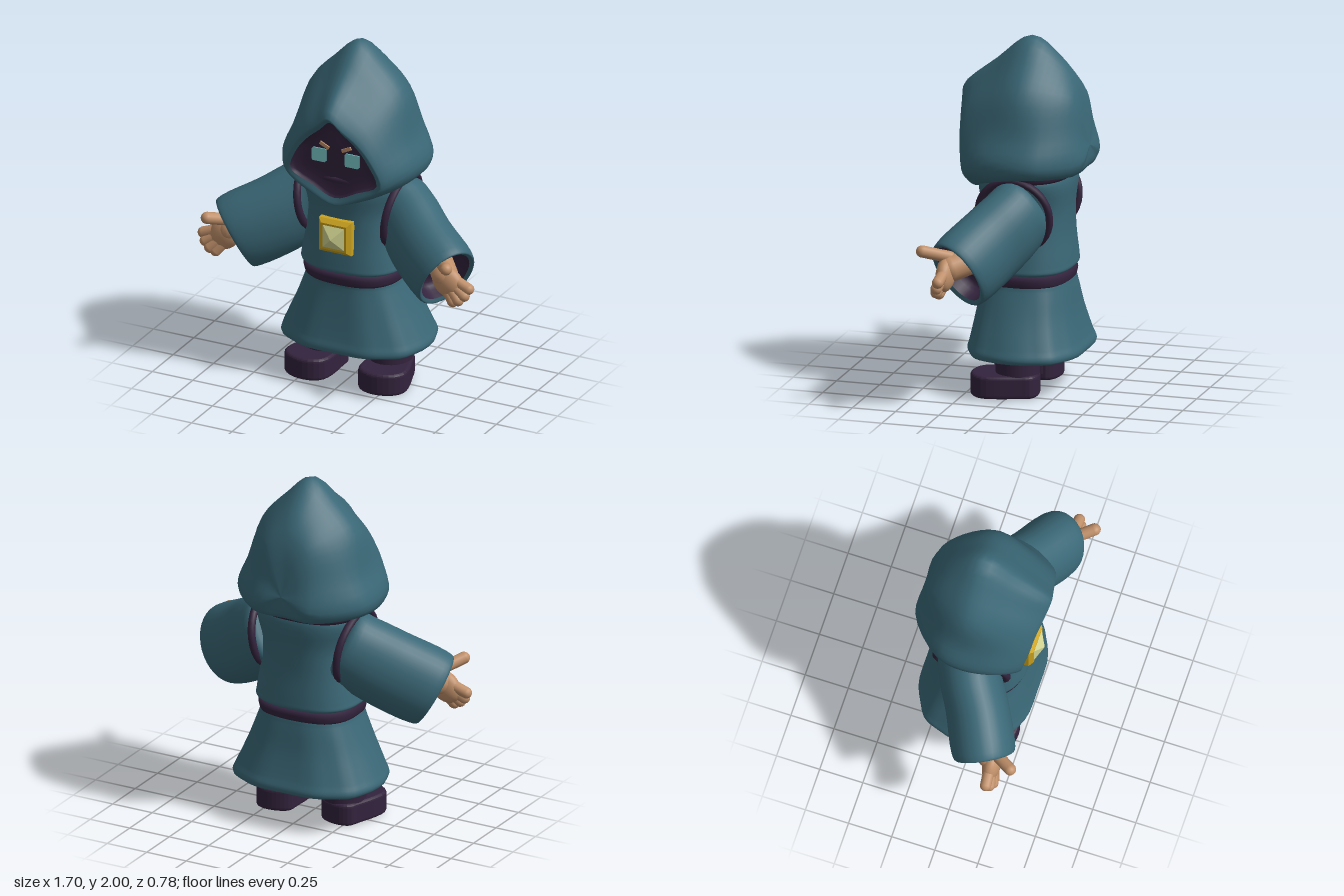
import * as THREE from 'three';

const mat = (name, color, side = THREE.FrontSide) =>
  Object.assign(new THREE.MeshStandardMaterial({ color, side }), { name });
const V = (x, y, z) => new THREE.Vector3(x, y, z);

// Smooth skin through a list of closed rings, always facing outward
function loft(rings, steps = 4) {
  const m = rings[0].length, rows = (rings.length - 1) * steps + 1;
  const cols = rings[0].map((_, j) => new THREE.CatmullRomCurve3(rings.map(r => r[j])).getPoints(rows - 1));
  const pts = [], index = [], mid = V(0, 0, 0);
  for (let i = 0; i < rows; i++) for (let j = 0; j < m; j++) {
    pts.push(cols[j][i]);
    mid.addScaledVector(cols[j][i], 1 / (rows * m));
  }
  for (let i = 0; i < rows - 1; i++) for (let j = 0; j < m; j++) {
    const a = i * m + j, b = i * m + (j + 1) % m;
    index.push(a, b, a + m, b, b + m, a + m);
  }
  let volume = 0;
  for (let k = 0; k < index.length; k += 3) {
    const [a, b, c] = [0, 1, 2].map(n => pts[index[k + n]].clone().sub(mid));
    volume += a.dot(b.cross(c));
  }
  if (volume < 0) index.reverse();
  const g = new THREE.BufferGeometry().setFromPoints(pts);
  g.setIndex(index);
  g.computeVertexNormals();
  return g;
}

// Horizontal rounded-square ring: height, half width, half depth, centre z, pleat depth
function flatRing([y, rx, rz, cz = -0.03, pleat = 0]) {
  return Array.from({ length: 48 }, (_, i) => {
    const t = i / 48 * Math.PI * 2, c = Math.cos(t), s = Math.sin(t), k = 1 + pleat * Math.cos(t * 10);
    const p = v => Math.sign(v) * Math.abs(v) ** 0.78;
    return V(rx * k * p(c), y, cz + rz * k * p(s));
  });
}

// Half outline from top to bottom, mirrored and smoothed into a full ring
function hoodRing(half) {
  const right = half.map(p => V(...p));
  const left = right.slice(1, -1).reverse().map(p => V(-p.x, p.y, p.z));
  return new THREE.CatmullRomCurve3([...right, ...left], true).getPoints(48).slice(0, 48);
}

const same = (ring, p) => ring.map(() => p.clone());

export function createModel() {
  const cloth = mat('teal cloth', 0x3a6776);
  const dark = mat('dark purple', 0x33233d, THREE.DoubleSide);
  const skin = mat('skin', 0xc0906a);
  const gold = mat('gold', 0xcba31f);
  const jewel = mat('pale jewel', 0xd2d592);
  const glow = mat('eye cyan', 0x7fd0d2);

  const model = new THREE.Group();
  model.name = 'hoodedFigure';
  const add = (name, geometry, material, x = 0, y = 0, z = 0, parent = model) => {
    const mesh = new THREE.Mesh(geometry, material);
    mesh.name = name;
    mesh.position.set(x, y, z);
    parent.add(mesh);
    return mesh;
  };

  // Hood: rings from the face opening to the back of the head
  const at = (z, list) => list.map(([x, y]) => [x, y, z]);
  const rim = hoodRing([[0, 1.64, .31], [.07, 1.58, .3], [.15, 1.51, .29], [.22, 1.42, .285], [.265, 1.29, .265], [.14, 1.22, .255], [0, 1.16, .25]]);
  const back = hoodRing([[0, 1.73, -.32], [.06, 1.72, -.32], [.13, 1.66, -.33], [.17, 1.5, -.35], [.18, 1.34, -.385], [.15, 1.28, -.37], [0, 1.275, -.37]]);
  add('hood', loft([
    rim,
    hoodRing([[0, 1.68, .345], [.08, 1.615, .33], [.17, 1.54, .31], [.25, 1.43, .29], [.295, 1.28, .265], [.15, 1.18, .265], [0, 1.12, .26]]),
    hoodRing(at(.15, [[0, 1.855], [.13, 1.76], [.24, 1.65], [.32, 1.48], [.375, 1.32], [.3, 1.22], [0, 1.18]])),
    hoodRing(at(-.05, [[0, 2], [.15, 1.88], [.29, 1.72], [.35, 1.5], [.41, 1.35], [.385, 1.27], [0, 1.25]])),
    hoodRing(at(-.2, [[0, 1.9], [.12, 1.83], [.24, 1.7], [.32, 1.5], [.38, 1.34], [.34, 1.27], [0, 1.25]])),
    back, same(back, V(0, 1.4, -.385)),
  ]), cloth);

  // Shadowed face behind the opening
  const inset = (k, z) => rim.map(p => V(p.x * k, 1.39 + (p.y - 1.39) * k, z));
  add('face', loft([rim, inset(.93, .24), inset(.5, .235), same(rim, V(0, 1.39, .235))], 2), dark);

  // Robe body, collar and belt
  add('tunic', loft([[.69, 0, 0], [.69, .27, .24], [.705, .303, .265], [.74, .3, .265], [.9, .275, .25],
    [1.05, .262, .25], [1.2, .3, .26], [1.25, .28, .24], [1.25, 0, 0]].map(flatRing)), cloth);
  add('collar', loft([[1.22, 0, 0], [1.22, .295, .25], [1.24, .312, .265], [1.28, .31, .265], [1.3, 0, 0]].map(flatRing), 2), dark);
  add('belt', loft([[.62, 0, 0], [.62, .275, .245], [.635, .285, .253], [.69, .285, .253], [.71, 0, 0]].map(flatRing), 2), dark);

  // Pleated skirt with a turned hem and hollow underside
  add('skirt', loft([[.65, 0, 0], [.65, .265, .24], [.6, .285, .25, -.037, .004], [.45, .345, .275, -.04, .012],
    [.3, .412, .31, -.047, .014], [.25, .432, .325, -.05, .012], [.225, .42, .318, -.05, .01], [.24, .385, .285, -.05],
    [.4, .31, .24, -.04], [.45, 0, 0]].map(flatRing)), cloth);

  // Chest brooch
  const facet = (top, bottom, height) => {
    const g = new THREE.CylinderGeometry(top * Math.SQRT2, bottom * Math.SQRT2, height, 4).toNonIndexed();
    g.rotateY(Math.PI / 4).rotateX(Math.PI / 2);
    g.computeVertexNormals();
    return g;
  };
  add('broochBack', facet(.1, .1, .05), gold, 0, .925, .22);
  add('broochFrame', facet(.078, .1, .022), gold, 0, .925, .256);
  add('broochJewel', facet(0, .068, .04), jewel, 0, .925, .286);

  // Rounded limb between two points
  const limb = (name, a, b, r, parent) => {
    const d = b.clone().sub(a), m = a.clone().add(b).multiplyScalar(.5);
    const mesh = add(name, new THREE.CapsuleGeometry(r, d.length(), 6, 14), skin, m.x, m.y, m.z, parent);
    mesh.quaternion.setFromUnitVectors(V(0, 1, 0), d.normalize());
    return mesh;
  };

  // Outlines for the eye and the boot foot
  const eyeShape = new THREE.Shape();
  eyeShape.moveTo(-.04, -.04).lineTo(.035, -.04).lineTo(.045, -.03).lineTo(.045, .04).lineTo(-.035, .04).lineTo(-.045, .03).lineTo(-.045, -.03);
  const foot = new THREE.Shape();
  foot.moveTo(-.09, .1).bezierCurveTo(-.09, .16, .09, .16, .09, .1)
    .bezierCurveTo(.1, .02, .12, -.03, .12, -.11).bezierCurveTo(.12, -.23, -.12, -.23, -.12, -.11)
    .bezierCurveTo(-.12, -.03, -.1, .02, -.09, .1);
  const footGeometry = new THREE.ExtrudeGeometry(foot, { depth: .09, bevelThickness: .02, bevelSize: .02, bevelSegments: 4, curveSegments: 12 });
  footGeometry.rotateX(-Math.PI / 2);

  for (const s of [1, -1]) {
    const side = s > 0 ? 'left' : 'right';
    const P = (x, y, z) => V(s * x, y, z);

    // Eye and brow plates
    add(side + 'Eye', new THREE.ExtrudeGeometry(eyeShape, { depth: .006, bevelEnabled: false }), glow, s * .102, 1.4, .238);
    add(side + 'Brow', new THREE.BoxGeometry(.062, .02, .008), skin, s * .068, 1.463, .242).rotation.z = s * .45;

    // Wide sleeve along a slanted arm axis, with a dark lining
    const ring = ([x, y, z, h, w]) => Array.from({ length: 36 }, (_, i) => {
      const t = i / 36 * Math.PI * 2, c = h * Math.cos(t), d = w * Math.sin(t);
      return P(x + .426 * c - .494 * d, y + .872 * c, z + .242 * c + .87 * d);
    });
    add(side + 'Sleeve', loft([[.2, 1.06, -.07, 0, 0], [.2, 1.06, -.07, .2, .16], [.3, 1, -.03, .22, .17], [.44, .9, .06, .23, .175],
      [.62, .8, .155, .228, .178], [.655, .78, .175, .215, .165], [.645, .786, .17, .19, .143]].map(ring)), cloth);
    add(side + 'SleeveLining', loft([[.645, .786, .17, .19, .143], [.56, .83, .12, .17, .125], [.55, .835, .115, 0, 0]].map(ring)), dark);

    // Dark seam around the armhole
    const seam = add(side + 'ArmholeSeam', new THREE.TorusGeometry(.205, .022, 8, 36).rotateY(Math.PI / 2), dark, s * .268, 1.035, -.03);
    seam.rotation.z = -s * .15;

    // Open hand
    const hand = new THREE.Group();
    hand.name = side + 'Hand';
    model.add(hand);
    limb('wrist', P(.58, .85, .12), P(.66, .82, .21), .075, hand);
    const palm = add('palm', new THREE.SphereGeometry(1, 20, 14), skin, s * .69, .79, .23, hand);
    palm.scale.set(.105, .085, .052);
    palm.rotation.z = -s * .7;
    limb('thumb', P(.65, .88, .22), P(.74, .925, .35), .034, hand);
    [[.82, .775, .235], [.8, .735, .25], [.768, .705, .26], [.733, .69, .255]].forEach(([x, y, z], i) =>
      limb('finger' + (i + 1), P(.7 - i * .012, .82 - i * .015, .225), P(x, y, z), .032, hand));

    // Leg and boot
    add(side + 'Leg', new THREE.CylinderGeometry(.122, .122, .42, 24), dark, s * .2, .25, -.03);
    add(side + 'Boot', footGeometry, dark, s * .215, .02, .008).rotation.y = s * .15;
  }
  return model;
}
